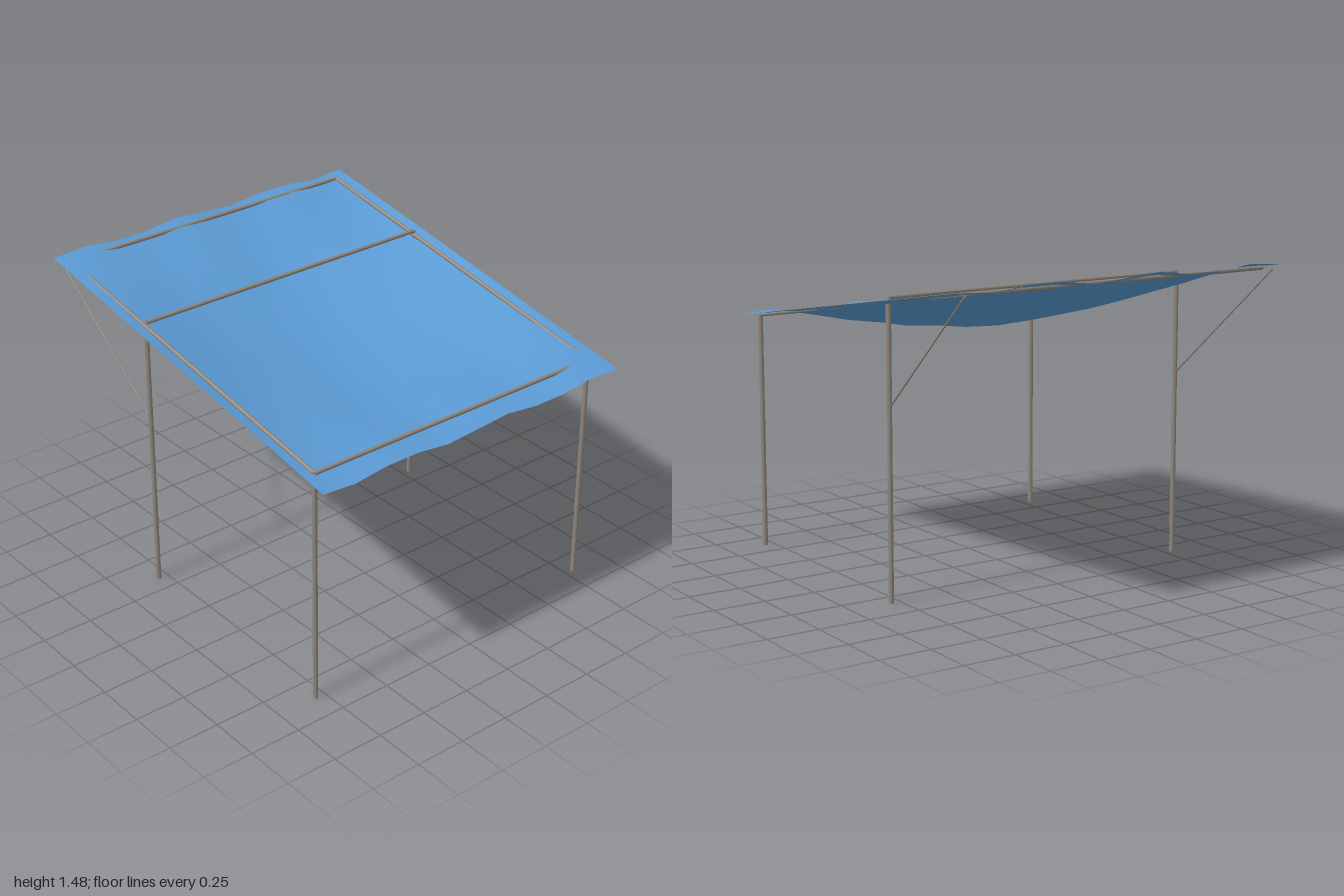
import * as THREE from 'three';

const W = 1.72, D = 2; // tarp width and depth
const POST_X = 0.797, FRONT_Z = 0.865, MID_Z = -0.343, BACK_Z = -0.95;

// height of the sloping roof plane at depth z
const slopeY = (z) => 1.303 - 0.168 * z;

// sloping sheet height: sag in the middle, ripples along front and back edges
function tarpY(x, z) {
  const sag = 0.165 * Math.cos((Math.PI * x) / W) * Math.cos((Math.PI * z) / D);
  const ripple = 0.0135 * Math.sin((6 * Math.PI * x) / W) * Math.sin((Math.PI * z) / D);
  return slopeY(z) - sag + ripple;
}

export function createModel() {
  const model = new THREE.Group();
  model.name = 'canopy';

  const tarpBlue = new THREE.MeshStandardMaterial({ color: 0x5b9bd5, side: THREE.DoubleSide });
  tarpBlue.name = 'tarpBlue';
  const poleGrey = new THREE.MeshStandardMaterial({ color: 0x8f867c });
  poleGrey.name = 'poleGrey';

  // round pole between two points
  function pole(name, a, b, radius) {
    const from = new THREE.Vector3(...a), to = new THREE.Vector3(...b);
    const dir = to.clone().sub(from);
    const mesh = new THREE.Mesh(new THREE.CylinderGeometry(radius, radius, dir.length(), 10), poleGrey);
    mesh.name = name;
    mesh.position.copy(from).add(to).multiplyScalar(0.5);
    mesh.quaternion.setFromUnitVectors(new THREE.Vector3(0, 1, 0), dir.normalize());
    model.add(mesh);
  }

  // tarp
  const sheet = new THREE.PlaneGeometry(W, D, 10, 8).rotateX(-Math.PI / 2);
  const p = sheet.attributes.position;
  for (let i = 0; i < p.count; i++) p.setY(i, tarpY(p.getX(i), p.getZ(i)));
  sheet.computeVertexNormals();
  const tarp = new THREE.Mesh(sheet, tarpBlue);
  tarp.name = 'tarp';
  model.add(tarp);

  // frame poles, tucked just under the roof plane
  const railY = (z) => slopeY(z) - 0.008;
  for (const [side, s] of [['left', 1], ['right', -1]]) {
    const x = s * POST_X;
    pole(side + 'FrontPost', [x, 0, FRONT_Z], [x, railY(FRONT_Z), FRONT_Z], 0.012);
    pole(side + 'RearPost', [x, 0, MID_Z], [x, railY(MID_Z), MID_Z], 0.012);
    pole(side + 'Rail', [x, railY(FRONT_Z), FRONT_Z], [x, railY(BACK_Z), BACK_Z], 0.01);
    pole(side + 'Brace', [x, 0.885, MID_Z], [s * 0.825, 1.45, -0.99], 0.004);
  }

  // cross beams
  for (const [name, y, z] of [
    ['frontBeam', railY(FRONT_Z), FRONT_Z],
    ['middleBeam', 1.373, MID_Z],
    ['backBeam', railY(BACK_Z), BACK_Z],
  ]) pole(name, [-POST_X, y, z], [POST_X, y, z], 0.01);

  return model;
}
